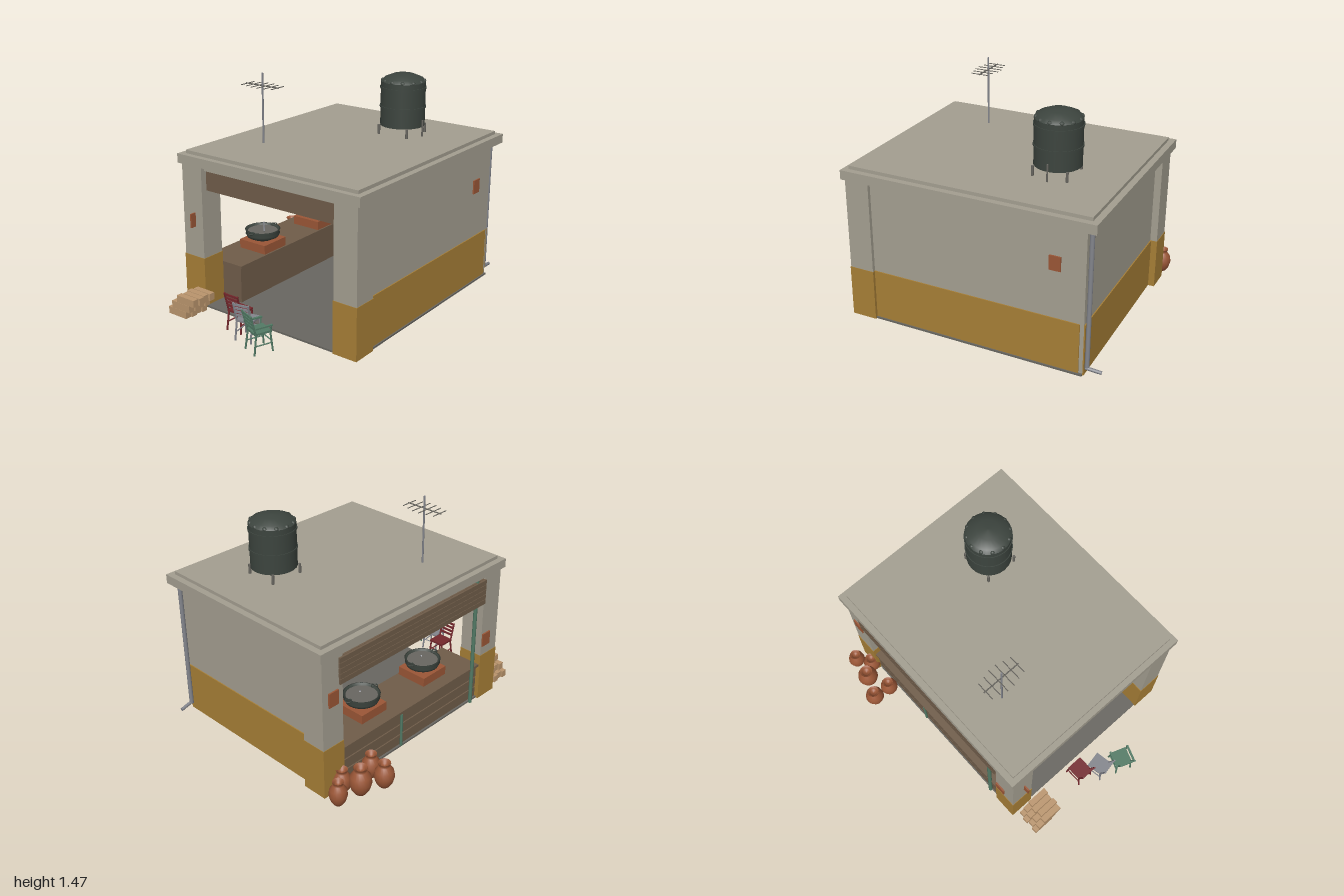
import * as THREE from 'three';

const mat = (name, color, side = THREE.FrontSide) => {
  const m = new THREE.MeshStandardMaterial({ color, side });
  m.name = name;
  return m;
};

export function createModel() {
  const root = new THREE.Group();
  root.name = 'openFrontShop';
  const plaster = mat('plaster', 0xa39e90), ochre = mat('ochre paint', 0xa67e36);
  const wood = mat('brown wood', 0x6f5c49), tankMat = mat('dark tank', 0x3c443e, THREE.DoubleSide);
  const clay = mat('terracotta', 0x9a5636, THREE.DoubleSide), plank = mat('pale timber', 0xb9946c);
  const red = mat('red paint', 0x74272c), metal = mat('grey metal', 0x83858c);
  const green = mat('green paint', 0x527a65), concrete = mat('dark concrete', 0x686660);

  const add = (name, geo, m, x = 0, y = 0, z = 0, parent = root) => {
    const mesh = new THREE.Mesh(geo, m);
    mesh.name = name;
    mesh.position.set(x, y, z);
    parent.add(mesh);
    return mesh;
  };
  // Box given by its limits on each axis
  const box = (name, m, x0, x1, y0, y1, z0, z1, parent = root) =>
    add(name, new THREE.BoxGeometry(x1 - x0, y1 - y0, z1 - z0), m, (x0 + x1) / 2, (y0 + y1) / 2, (z0 + z1) / 2, parent);
  // Round bar between two points
  const bar = (name, m, a, b, r, parent = root, sides = 8) => {
    const p = new THREE.Vector3(...a), q = new THREE.Vector3(...b), d = q.clone().sub(p);
    const mesh = add(name, new THREE.CylinderGeometry(r, r, d.length(), sides), m, 0, 0, 0, parent);
    mesh.position.copy(p).add(q).multiplyScalar(0.5);
    mesh.quaternion.setFromUnitVectors(new THREE.Vector3(0, 1, 0), d.normalize());
    return mesh;
  };
  const lathe = (name, m, pts, x, y, z, sides = 20, parent = root) =>
    add(name, new THREE.LatheGeometry(pts.map(p => new THREE.Vector2(...p)), sides), m, x, y, z, parent);

  // Floor and two-step roof slab
  box('floor', concrete, -0.555, 0.765, 0, 0.012, -0.885, 0.67);
  box('roofSlab', plaster, -0.59, 0.797, 0.94, 1.0, -0.955, 0.692);
  box('roofCap', plaster, -0.55, 0.758, 1.0, 1.022, -0.915, 0.655);

  // Corner pillars with painted feet
  for (const [x0, x1, z0, z1] of [[-0.567, -0.405, 0.515, 0.677], [0.61, 0.773, 0.515, 0.677], [-0.567, -0.405, -0.93, -0.77]]) {
    box('pillar', plaster, x0, x1, 0.337, 0.94, z0, z1);
    box('pillarFoot', ochre, x0 - 0.003, x1 + 0.003, 0, 0.337, z0 - 0.003, z1 + 0.003);
  }

  // Solid walls with painted lower band
  box('rightWall', plaster, 0.70, 0.75, 0, 0.94, -0.885, 0.515);
  box('rightWallBand', ochre, 0.75, 0.757, 0, 0.337, -0.86, 0.515);
  box('backWall', plaster, -0.405, 0.70, 0, 0.94, -0.885, -0.835);
  box('backWallBand', ochre, -0.405, 0.75, 0, 0.337, -0.892, -0.885);

  // Lintels and rolled shutters over both openings
  box('frontLintel', plaster, -0.405, 0.61, 0.91, 0.94, 0.53, 0.65);
  box('frontShutter', wood, -0.405, 0.61, 0.78, 0.91, 0.59, 0.635);
  box('sideLintel', plaster, -0.555, -0.42, 0.91, 0.94, -0.77, 0.515);
  for (let i = 0; i < 5; i++)
    box('sideShutterSlat', wood, -0.58, -0.562, 0.736 + i * 0.035, 0.768 + i * 0.035, -0.80, 0.515);
  box('sideShutterBacking', wood, -0.566, -0.552, 0.736, 0.91, -0.77, 0.51);

  // Serving counter along the side opening
  box('counterBody', wood, -0.54, -0.255, 0.01, 0.25, -0.77, 0.505);
  box('counterTop', wood, -0.56, -0.245, 0.25, 0.267, -0.77, 0.512);
  for (let i = 0; i < 3; i++)
    box('counterPanel', wood, -0.549, -0.54, 0.02 + i * 0.077, 0.088 + i * 0.077, -0.765, 0.5);
  bar('counterPost', green, [-0.555, 0.01, -0.25], [-0.555, 0.25, -0.25], 0.009);
  bar('sidePost', green, [-0.56, 0, 0.44], [-0.56, 0.94, 0.44], 0.013);

  // Brick stoves with pans
  for (const z of [0.16, -0.41]) {
    const stove = new THREE.Group();
    stove.name = 'stove';
    stove.position.set(-0.365, 0.267, z);
    root.add(stove);
    box('bricks', clay, -0.108, 0.108, 0, 0.06, -0.108, 0.108, stove);
    lathe('pan', tankMat, [[0, 0.06], [0.07, 0.062], [0.105, 0.08], [0.115, 0.1], [0.108, 0.118], [0.118, 0.128], [0.108, 0.13], [0.1, 0.115]], 0, 0, 0, 24, stove);
    add('panContents', new THREE.CylinderGeometry(0.103, 0.103, 0.006, 24), concrete, 0, 0.113, 0, stove);
    bar('ladle', metal, [0.03, 0.118, 0.02], [-0.015, 0.16, -0.03], 0.005, stove);
    for (const s of [-1, 1])
      add('panHandle', new THREE.TorusGeometry(0.02, 0.004, 6, 12), tankMat, 0, 0.125, s * 0.115, stove).rotation.x = Math.PI / 2;
  }

  // Cupboard, shelf and jars inside the right wall
  box('cupboard', wood, 0.485, 0.70, 0.012, 0.437, -0.80, -0.30);
  box('cupboardTop', wood, 0.473, 0.70, 0.437, 0.45, -0.81, -0.29);
  box('lowShelf', plaster, 0.505, 0.70, 0.212, 0.227, -0.28, 0.1);
  for (const z of [-0.26, 0.08]) bar('shelfLeg', wood, [0.66, 0.012, z], [0.66, 0.212, z], 0.012);
  box('wallShelf', wood, 0.575, 0.70, 0.54, 0.552, -0.2, 0.3);
  for (const z of [-0.1, 0.05, 0.2]) box('shelfGoods', plank, 0.588, 0.68, 0.552, 0.625, z - 0.045, z + 0.045);
  box('smallShelf', wood, 0.58, 0.70, 0.345, 0.357, 0.1, 0.3);
  add('tin', new THREE.CylinderGeometry(0.045, 0.045, 0.09, 16), metal, 0.633, 0.402, 0.2);
  lathe('paleJar', plaster, [[0, 0], [0.03, 0], [0.05, 0.04], [0.052, 0.08], [0.035, 0.12], [0.024, 0.13], [0.03, 0.145], [0, 0.145]], 0.563, 0.012, 0.2);

  // Hanging lamp
  bar('lampWire', tankMat, [-0.15, 0.715, 0], [-0.15, 0.94, 0], 0.0025);
  add('lampBulb', new THREE.SphereGeometry(0.012, 10, 8), clay, -0.15, 0.703, 0);

  // Small plaques
  box('rightPlaque', clay, 0.75, 0.759, 0.645, 0.737, -0.735, -0.662);
  box('frontPlaque', clay, -0.476, -0.466, 0.54, 0.632, 0.677, 0.717);
  box('backSidePlaque', clay, -0.577, -0.567, 0.615, 0.71, -0.885, -0.81);
  box('sidePlaque', clay, -0.577, -0.567, 0.407, 0.5, 0.52, 0.595);

  // Water tank on legs
  lathe('waterTank', tankMat, [[0, 1.08], [0.146, 1.08], [0.146, 1.08], [0.146, 1.37], [0.146, 1.37], [0.125, 1.392], [0.07, 1.415], [0, 1.42]], 0.29, 0, -0.505, 24);
  for (const y of [1.205, 1.33])
    add('tankBand', new THREE.CylinderGeometry(0.151, 0.151, 0.013, 24), tankMat, 0.29, y, -0.505);
  for (let i = 0; i < 12; i++) {
    const a = i * Math.PI / 6;
    add('tankRib', new THREE.SphereGeometry(0.016, 8, 6), tankMat, 0.29 + 0.132 * Math.cos(a), 1.372, -0.505 + 0.132 * Math.sin(a));
  }
  for (const x of [0.183, 0.398]) for (const z of [-0.39, -0.61])
    bar('tankLeg', concrete, [x, 1.02, z], [x, 1.085, z], 0.009);
  bar('tankPipe', concrete, [0.444, 1.02, -0.505], [0.444, 1.13, -0.505], 0.006);

  // Roof aerial
  bar('aerialMast', metal, [-0.27, 1.02, 0.243], [-0.27, 1.472, 0.243], 0.006);
  bar('aerialBoom', concrete, [-0.405, 1.392, 0.243], [-0.14, 1.392, 0.243], 0.004);
  [0.06, 0.07, 0.083, 0.083, 0.07, 0.06].forEach((h, i) => {
    const x = -0.392 + i * 0.0485;
    bar('aerialRod', concrete, [x, 1.392, 0.243 - h], [x, 1.392, 0.243 + h], 0.003);
  });

  // Drainpipe on the back corner
  bar('drainpipe', metal, [0.735, 0.045, -0.907], [0.735, 0.94, -0.907], 0.014, root, 12);
  bar('drainSpout', metal, [0.74, 0.05, -0.90], [0.727, 0.036, -0.995], 0.011, root, 12);

  // Clay pots beside the back pillar
  const pot = [[0, 0], [0.5, 0], [0.82, 0.18], [1, 0.42], [0.9, 0.66], [0.55, 0.84], [0.45, 0.89], [0.62, 0.98], [0.6, 1], [0.4, 0.93], [0.3, 0.85], [0, 0.82]];
  for (const [x, z, r, h] of [[-0.655, -0.905, 0.057, 0.16], [-0.68, -0.745, 0.07, 0.187], [-0.736, -0.6, 0.064, 0.17], [-0.615, -0.588, 0.06, 0.165], [-0.59, -0.81, 0.06, 0.16]])
    lathe('clayPot', clay, pot.map(([a, b]) => [a * r, b * h]), x, 0, z);

  // Stepped stack of planks by the entrance
  [[-0.535, -0.375], [-0.505, -0.345], [-0.46, -0.305]].forEach(([x0, x1], i) => {
    for (let j = 0; j < 4; j++) {
      const s = j % 2 ? 0 : 0.012, z = 0.703 + j * 0.045;
      box('stackedPlank', plank, x0 + s, x1 - (j % 2 ? 0.01 : 0), i * 0.048, i * 0.048 + 0.047, z, z + 0.04);
    }
  });

  // Slatted chairs facing the shop
  const chair = (name, m, x, z, turn, arms) => {
    const g = new THREE.Group();
    g.name = name;
    g.position.set(x, 0, z);
    g.rotation.y = turn;
    root.add(g);
    box('seat', m, -0.055, 0.055, 0.123, 0.136, -0.055, 0.055, g);
    for (const s of [-1, 1]) {
      bar('frontLeg', m, [s * 0.055, 0, -0.06], [s * 0.049, 0.125, -0.048], 0.006, g);
      bar('rearLeg', m, [s * 0.055, 0, 0.062], [s * 0.05, 0.13, 0.045], 0.006, g);
      bar('backPost', m, [s * 0.05, 0.125, 0.048], [s * 0.052, 0.254, 0.08], 0.006, g);
      bar('sideRail', m, [s * 0.052, 0.055, -0.054], [s * 0.052, 0.055, 0.055], 0.004, g);
      if (arms) {
        box('armrest', m, s * 0.063 - 0.007, s * 0.063 + 0.007, 0.168, 0.177, -0.055, 0.062, g);
        bar('armPost', m, [s * 0.058, 0.125, -0.045], [s * 0.062, 0.17, -0.048], 0.005, g);
      }
    }
    for (let i = 0; i < 4; i++) {
      const y = 0.168 + i * 0.0255;
      box('backSlat', m, -0.052, 0.052, y - 0.007, y + 0.007, 0.055 + i * 0.0065, 0.062 + i * 0.0065, g);
    }
    bar('crossRail', m, [-0.052, 0.07, -0.053], [0.052, 0.07, -0.053], 0.004, g);
  };
  chair('redChair', red, -0.029, 0.765, 0, false);
  chair('greyChair', metal, 0.092, 0.83, 0.18, false);
  chair('greenChair', green, 0.238, 0.90, -0.35, true);

  return root;
}
